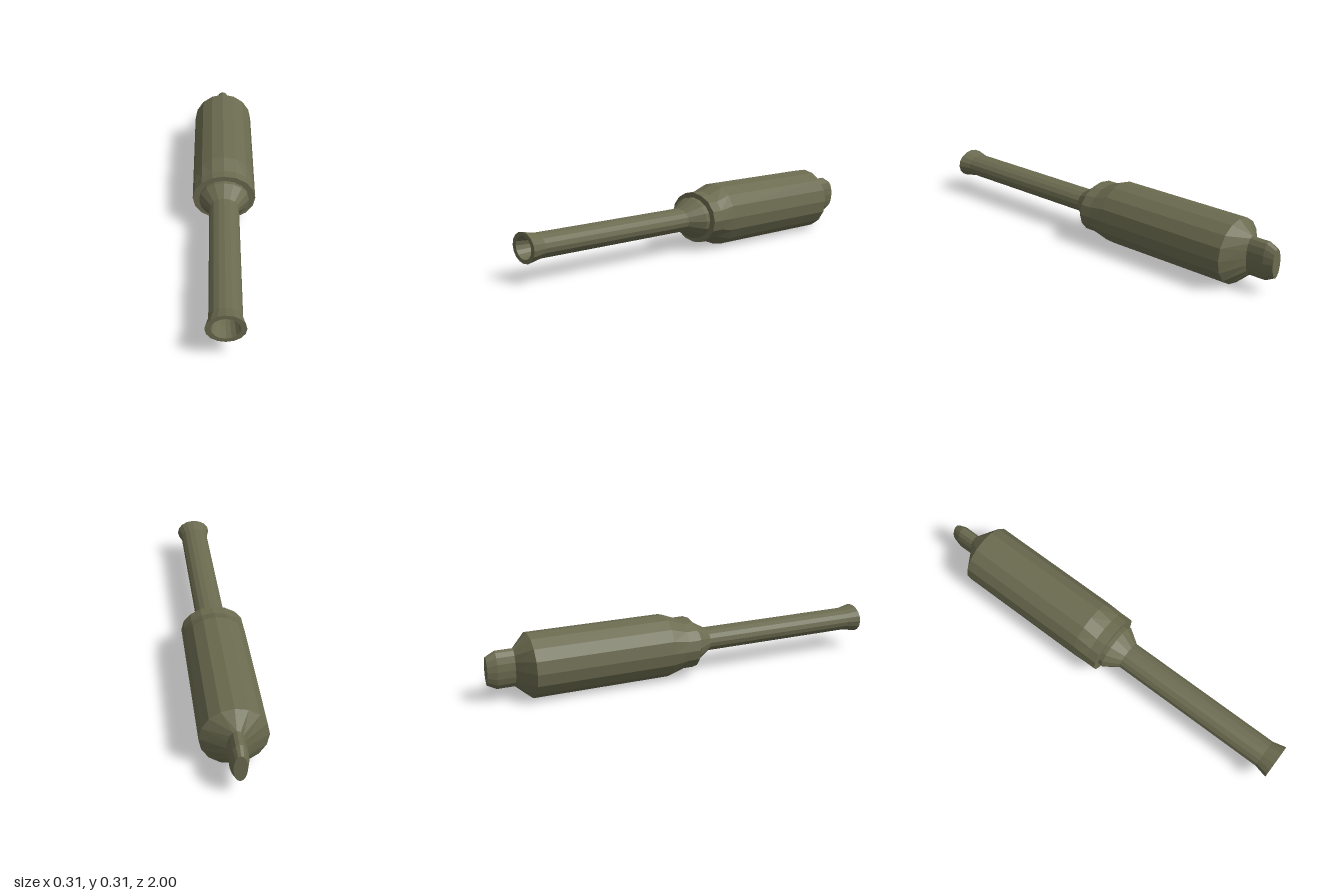
import * as THREE from 'three';

const SIDES = 16;
const CENTRE_Y = 0.156;

const olive = new THREE.MeshStandardMaterial({ color: 0x6b6b50, flatShading: true });
olive.name = 'olive drab';

// Skins elliptical cross-sections [z, radiusX, radiusY] along z.
// Listed back to front the skin faces outwards, front to back it faces inwards.
function loft(name, sections) {
  const positions = [];
  const point = ([z, rx, ry], i) => {
    const a = ((i % SIDES) / SIDES) * Math.PI * 2;
    return [rx * Math.cos(a), ry * Math.sin(a), z];
  };
  for (let s = 0; s < sections.length - 1; s++) {
    const from = sections[s], to = sections[s + 1];
    for (let i = 0; i < SIDES; i++) {
      const a = point(from, i), b = point(from, i + 1);
      const c = point(to, i + 1), d = point(to, i);
      if (from[1] > 0) positions.push(...a, ...b, ...d);
      if (to[1] > 0) positions.push(...b, ...c, ...d);
    }
  }
  const geometry = new THREE.BufferGeometry();
  geometry.setAttribute('position', new THREE.Float32BufferAttribute(positions, 3));
  geometry.computeVertexNormals();
  const mesh = new THREE.Mesh(geometry, olive);
  mesh.name = name;
  mesh.position.y = CENTRE_Y;
  return mesh;
}

export function createModel() {
  const model = new THREE.Group();
  model.name = 'canister with tube';

  model.add(
    // Narrow upright plug at the rear
    loft('rearPlug', [
      [-1, 0, 0],
      [-1, 0.031, 0.07],
      [-0.955, 0.043, 0.094],
      [-0.87, 0.043, 0.094],
    ]),
    // Main body, its front flattened only in height
    loft('body', [
      [-0.87, 0.043, 0.094],
      [-0.8, 0.156, 0.156],
      [-0.115, 0.156, 0.156],
      [-0.035, 0.156, 0.125],
      [0.02, 0.156, 0.125],
      [0.02, 0.123, 0.1],
    ]),
    // Stepped collar tapering to the tube
    loft('collar', [
      [0.02, 0.123, 0.1],
      [0.042, 0.123, 0.1],
      [0.115, 0.073, 0.057],
    ]),
    // Long tube with a flared mouth
    loft('tube', [
      [0.115, 0.073, 0.057],
      [0.933, 0.073, 0.057],
      [1, 0.089, 0.071],
      [1, 0.063, 0.053],
    ]),
    // Hollow bore inside the tube
    loft('bore', [
      [1, 0.063, 0.053],
      [0.933, 0.054, 0.045],
      [0.115, 0.036, 0.031],
      [0.06, 0.018, 0.03],
      [0.02, 0.012, 0.024],
      [0.02, 0, 0],
    ]),
  );
  return model;
}
